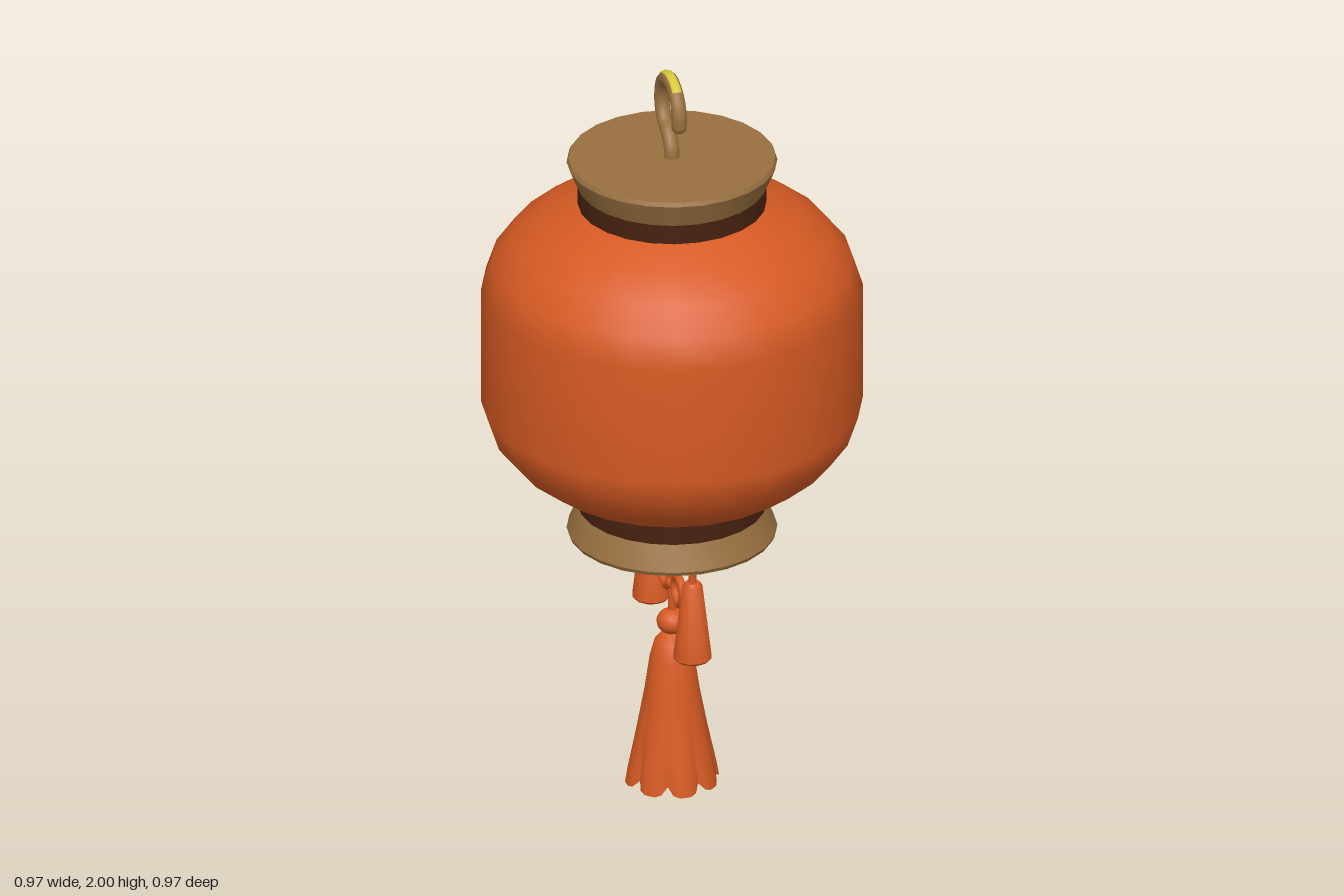
import * as THREE from 'three';
import { toCreasedNormals } from 'three/addons/utils/BufferGeometryUtils.js';

const paint = (name, color) => {
  const m = new THREE.MeshStandardMaterial({ color });
  m.name = name;
  return m;
};

// Surface of revolution from [radius, y] pairs listed bottom to top
const turned = (profile, sides = 24) =>
  new THREE.LatheGeometry(profile.map(([r, y]) => new THREE.Vector2(r, y)), sides);

export function createModel() {
  const orange = paint('orange paper', 0xd65a23);
  const wood = paint('tan wood', 0x997040);
  const dark = paint('dark brown', 0x46220f);
  const yellow = paint('yellow', 0xd8cc3c);

  const model = new THREE.Group();
  model.name = 'lantern';
  const add = (name, geometry, material, parent = model) => {
    const mesh = new THREE.Mesh(geometry, material);
    mesh.name = name;
    parent.add(mesh);
    return mesh;
  };

  // Paper body, symmetric about its middle height
  const mid = 1.24;
  const upper = [[0.485, 0.16], [0.458, 0.24], [0.405, 0.305], [0.33, 0.36], [0.24, 0.4]];
  const lower = upper.map(([r, h]) => [r, mid - h]).reverse();
  add('paperBody', turned([...lower, ...upper.map(([r, h]) => [r, mid + h])]), orange);

  // Necks and flared caps, top and bottom
  const cap = [[0, 0], [0.24, 0], [0.268, 0.066], [0.263, 0.077], [0, 0.077]];
  const flipped = cap.map(([r, h]) => [r, 0.785 - h]).reverse();
  add('topNeck', new THREE.CylinderGeometry(0.24, 0.24, 0.08, 24).translate(0, 1.665, 0), dark);
  add('bottomNeck', new THREE.CylinderGeometry(0.24, 0.24, 0.08, 24).translate(0, 0.815, 0), dark);
  add('topCap', toCreasedNormals(turned(cap.map(([r, h]) => [r, 1.692 + h])), 0.6), wood);
  add('bottomCap', toCreasedNormals(turned(flipped), 0.6), wood);

  // Hanging hook: short stem curling into an open ring in the yz plane
  const hookY = 1.9, hookZ = -0.013, hookR = 0.078;
  const path = [new THREE.Vector3(0, 1.75, 0), new THREE.Vector3(0, 1.79, -0.004)];
  for (let deg = -165; deg <= 101; deg += 19) {
    const t = THREE.MathUtils.degToRad(deg);
    path.push(new THREE.Vector3(0, hookY + hookR * Math.cos(t), hookZ + hookR * Math.sin(t)));
  }
  const tip = path[path.length - 1];
  add('hook', new THREE.TubeGeometry(new THREE.CatmullRomCurve3(path), 48, 0.02, 10), wood);
  add('hookTip', new THREE.SphereGeometry(0.02, 10, 8).translate(0, tip.y, tip.z), wood);

  // Yellow strip along the crown of the hook
  const arc = 1.4;
  const strip = new THREE.TorusGeometry(0.083, 0.0163, 10, 16, arc)
    .rotateZ(Math.PI / 2 - arc / 2).rotateY(Math.PI / 2).translate(0, hookY, hookZ);
  add('hookStrip', strip, yellow);

  // Small tassels front and back
  for (const [side, z] of [['front', 0.182], ['back', -0.182]]) {
    const tassel = new THREE.Group();
    tassel.name = side + 'Tassel';
    tassel.position.z = z;
    model.add(tassel);
    add('cord', new THREE.CylinderGeometry(0.011, 0.011, 0.1, 8).translate(0, 0.68, 0), orange, tassel);
    const skirt = [[0, 0.44], [0.045, 0.43], [0.05, 0.436], [0.026, 0.636], [0.018, 0.647], [0, 0.647]];
    add('skirt', toCreasedNormals(turned(skirt, 12), 0.7), orange, tassel);
  }

  // Central cord with bow loops and a bead
  add('centralCord', new THREE.CylinderGeometry(0.011, 0.011, 0.32, 8).translate(0, 0.56, 0), orange);
  for (const s of [1, -1]) {
    const loop = new THREE.TorusGeometry(0.037, 0.011, 8, 20).rotateY(Math.PI / 2);
    add(s > 0 ? 'frontBowLoop' : 'backBowLoop', loop.translate(0, 0.563, s * 0.057), orange);
  }
  add('bowKnot', new THREE.SphereGeometry(0.018, 10, 8).translate(0, 0.56, 0), orange);
  add('bead', new THREE.SphereGeometry(0.04, 16, 12).scale(1, 0.85, 1).translate(0, 0.45, 0), orange);

  // Large tassel whose hem breaks into soft lobes
  const bell = turned([[0, 0.03], [0.1, 0.012], [0.121, 0.003], [0.115, 0.04], [0.091, 0.15],
    [0.07, 0.26], [0.057, 0.35], [0.045, 0.395], [0.028, 0.417], [0, 0.42]], 48);
  const p = bell.attributes.position;
  for (let i = 0; i < p.count; i++) {
    const x = p.getX(i), y = p.getY(i), z = p.getZ(i);
    const notch = Math.pow(1 - Math.abs(Math.cos(4 * Math.atan2(x, z))), 2);
    const k = Math.pow(Math.max(0, 1 - y / 0.3), 2) * notch;
    p.setXYZ(i, x * (1 - 0.14 * k), y + (y < 0.035 && Math.hypot(x, z) > 0.05 ? 0.025 * notch : 0), z * (1 - 0.14 * k));
  }
  add('largeTassel', toCreasedNormals(bell, 0.9), orange);

  return model;
}
